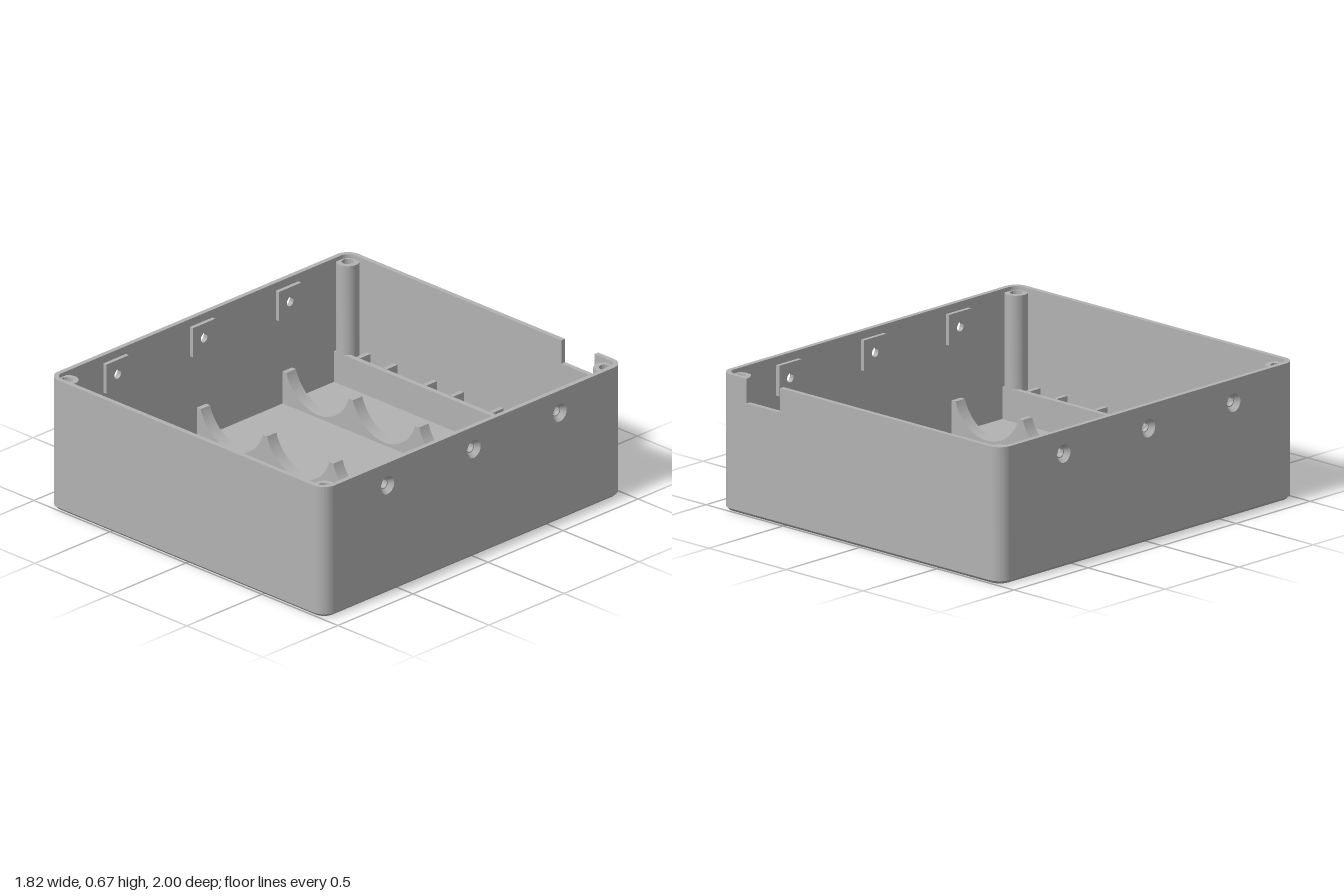
import * as THREE from 'three';
import { toCreasedNormals } from 'three/addons/utils/BufferGeometryUtils.js';

const W = 0.91, D = 1, H = 0.67;      // half width, half depth, height
const T = 0.025, R = 0.07;            // wall thickness, corner radius
const FLOOR = 0.035, CHAMFER = 0.015;
const HOLE_Y = 0.555, HOLE_Z = [-0.57, 0.003, 0.578];
const CELLS = [-0.655, -0.218, 0.218, 0.655];

export function createModel() {
  const model = new THREE.Group();
  const grey = new THREE.MeshStandardMaterial({ color: 0xb2b2b2, side: THREE.DoubleSide });
  grey.name = 'grey plastic';

  const add = (name, geo, x = 0, y = 0, z = 0) => {
    const mesh = new THREE.Mesh(geo, grey);
    mesh.name = name;
    mesh.position.set(x, y, z);
    model.add(mesh);
    return mesh;
  };
  const extrude = (shape, depth, extra = {}) => toCreasedNormals(
    new THREE.ExtrudeGeometry(shape, { depth, bevelEnabled: false, curveSegments: 24, ...extra }), 0.5);
  const polygon = (pts) => new THREE.Shape(pts.map(([x, y]) => new THREE.Vector2(x, y)));
  const rect = (x0, y0, x1, y1) => polygon([[x0, y0], [x1, y0], [x1, y1], [x0, y1]]);
  const circle = (x, y, r) => new THREE.Path().absarc(x, y, r, 0, Math.PI * 2, true);
  const box = (name, x0, x1, y0, y1, z0, z1) =>
    add(name, new THREE.BoxGeometry(x1 - x0, y1 - y0, z1 - z0), (x0 + x1) / 2, (y0 + y1) / 2, (z0 + z1) / 2);

  // Floor slab with a chamfered lower edge
  const w = W - CHAMFER, d = D - CHAMFER, r = R - CHAMFER;
  const slab = new THREE.Shape();
  slab.absarc(w - r, d - r, r, 0, Math.PI / 2);
  slab.absarc(-w + r, d - r, r, Math.PI / 2, Math.PI);
  slab.absarc(-w + r, -d + r, r, Math.PI, Math.PI * 1.5);
  slab.absarc(w - r, -d + r, r, Math.PI * 1.5, Math.PI * 2);
  const floor = extrude(slab, FLOOR - 2 * CHAMFER, {
    bevelEnabled: true, bevelSegments: 1, bevelSize: CHAMFER, bevelThickness: CHAMFER, curveSegments: 12 });
  add('floor', floor.rotateX(-Math.PI / 2), 0, CHAMFER, 0);

  // Front wall, and back wall with a cable notch
  const e = W - R;
  add('frontWall', extrude(rect(-e, CHAMFER, e, H), T), 0, 0, D - T);
  const notched = polygon([[-e, CHAMFER], [e, CHAMFER], [e, H], [0.738, H], [0.738, 0.55],
    [0.52, 0.55], [0.52, H], [-e, H]]);
  add('backWall', extrude(notched, T), 0, 0, -D);

  // Pad with a teardrop screw hole
  const padShape = rect(-0.075, -0.075, 0.075, 0.075);
  const hr = 0.022;
  const tear = new THREE.Path();
  tear.absarc(0, 0, hr, Math.PI * 0.75, Math.PI * 2.25);
  tear.lineTo(0, hr * Math.SQRT2);
  tear.closePath();
  padShape.holes.push(tear);

  // Side walls with countersunk holes and inner pads
  for (const s of [-1, 1]) {
    const wall = rect(-(D - R), CHAMFER, D - R, H);
    for (const z of HOLE_Z) wall.holes.push(circle(-z, HOLE_Y, 0.045));
    add('sideWall', extrude(wall, T).rotateY(Math.PI / 2), s > 0 ? W - T : -W);
    for (const z of HOLE_Z) {
      const cone = new THREE.CylinderGeometry(0.045, 0.027, T, 32, 1, true).rotateZ(-s * Math.PI / 2);
      add('countersink', cone, s * (W - T / 2), HOLE_Y, z);
      const pad = extrude(padShape, 0.02).rotateY(Math.PI / 2);
      add('screwPad', pad, s > 0 ? W - T - 0.02 : -W + T, HOLE_Y, z);
    }
  }

  // Rounded corners and screw posts
  const corner = new THREE.Shape();
  corner.absarc(0, 0, R, 0, Math.PI / 2);
  corner.absarc(0, 0, R - T, Math.PI / 2, 0, true);
  corner.closePath();
  const post = new THREE.Shape().absarc(0, 0, 0.055, 0, Math.PI * 2);
  post.holes.push(circle(0, 0, 0.029));
  const quarterTurns = [[1, -1, 0], [-1, -1, 1], [-1, 1, 2], [1, 1, 3]];
  for (const [sx, sz, turn] of quarterTurns) {
    const geo = extrude(corner, H - CHAMFER).rotateX(-Math.PI / 2).rotateY(turn * Math.PI / 2);
    add('corner', geo, sx * (W - R), CHAMFER, sz * (D - R));
    add('screwPost', extrude(post, 0.62).rotateX(-Math.PI / 2), sx * 0.846, 0.03, sz * 0.935);
  }

  // Cradles with four round seats each
  const top = 0.2, seatR = 0.215, seatY = 0.265;
  const a = Math.asin((seatY - top) / seatR);
  const cradle = new THREE.Shape();
  cradle.moveTo(-W + T, 0.03);
  cradle.lineTo(-W + T, top);
  for (const x of CELLS) cradle.absarc(x, seatY, seatR, Math.PI + a, Math.PI * 2 - a);
  cradle.lineTo(W - T, top);
  cradle.lineTo(W - T, 0.03);
  for (const z of [-0.572, 0, 0.572]) add('cradle', extrude(cradle, 0.063), 0, 0, z - 0.0315);

  // Contact rails along front and back, tied to the wall by ribs
  for (const s of [-1, 1]) {
    const span = (z0, z1) => (s > 0 ? [z0, z1] : [-z1, -z0]);
    box('contactRail', -W + T, W - T, 0.03, 0.193, ...span(0.883, 0.909));
    for (const x of CELLS) for (const side of [-1, 1]) {
      const c = x - 0.004 + side * 0.088;
      box('contactRib', c - 0.012, c + 0.012, 0.03, 0.197, ...span(0.908, D - T));
    }
  }
  return model;
}
